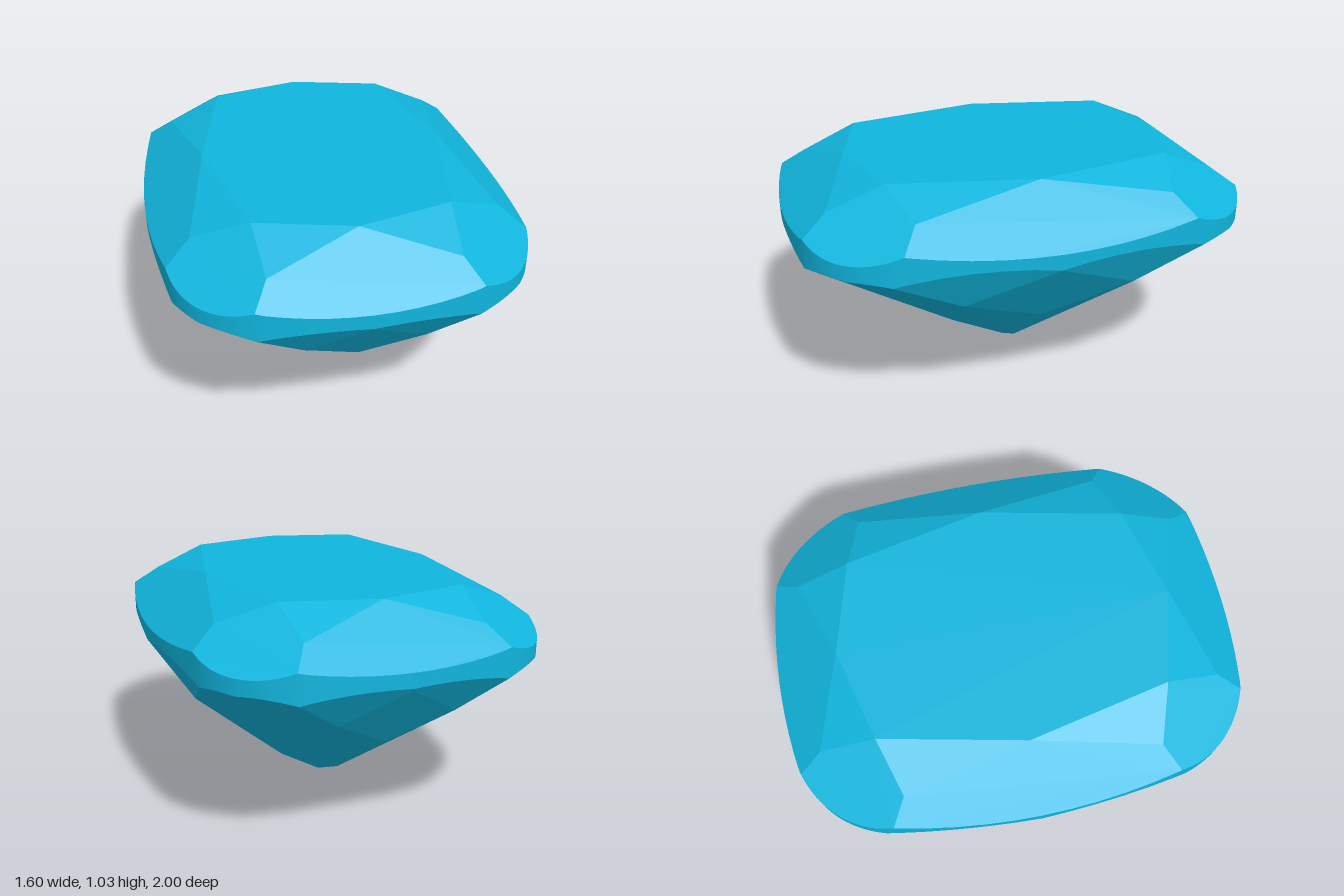
import * as THREE from 'three';
import { mergeVertices } from 'three/addons/utils/BufferGeometryUtils.js';

const P = (x, y, z) => new THREE.Vector3(x, y, z);
const CENTRE = P(0, 0.6, 0);

// Plane through three points, facing away from the stone's centre
function planeThrough(a, b, c) {
  const plane = new THREE.Plane().setFromCoplanarPoints(a, b, c);
  return plane.distanceToPoint(CENTRE) > 0 ? plane.negate() : plane;
}

// Repeat each facet in all four quadrants, dropping coincident ones
function mirrored(triples) {
  const planes = [];
  for (const t of triples) for (const sx of [1, -1]) for (const sz of [1, -1]) {
    const plane = planeThrough(...t.map(p => P(p.x * sx, p.y, p.z * sz)));
    if (!planes.some(q => q.normal.distanceTo(plane.normal) < 1e-5)) planes.push(plane);
  }
  return planes;
}

// Tangent planes of the cushion outline: two shallow side arcs joined by a round corner
function girdlePlanes(count = 160) {
  const R1 = 3.05, r = 0.43, a1 = Math.asin(0.63 / R1);
  const cx = 0.8 - R1 + (R1 - r) * Math.cos(a1), cz = (R1 - r) * Math.sin(a1);
  const bend = 2 * Math.atan((1 - r - cz) / cx);
  const R2 = cx / Math.sin(bend) + r, a2 = Math.PI / 2 - bend;
  const planes = [];
  for (let i = 0; i < count; i++) {
    const t = (i + 0.5) / count * Math.PI * 2;
    const c = Math.abs(Math.cos(t)), s = Math.abs(Math.sin(t)), a = Math.atan2(s, c);
    let reach = cx * c + cz * s + r;
    if (a < a1) reach = (0.8 - R1) * c + R1;
    else if (a > a2) reach = (1 - R2) * s + R2;
    planes.push(new THREE.Plane(P(Math.cos(t), 0, Math.sin(t)), -reach));
  }
  return planes;
}

// Cut a polygon down to the part behind a plane
function clip(poly, plane) {
  const out = [];
  poly.forEach((p, i) => {
    const q = poly[(i + 1) % poly.length];
    const dp = plane.distanceToPoint(p), dq = plane.distanceToPoint(q);
    if (dp <= 1e-7) out.push(p);
    if ((dp > 1e-7) !== (dq > 1e-7)) out.push(p.clone().lerp(q, dp / (dp - dq)));
  });
  return out;
}

// Facets lying on the given planes, trimmed by every other plane of the stone
function facetGeometry(planes, all) {
  const pos = [];
  for (const plane of planes) {
    const n = plane.normal;
    const u = (Math.abs(n.y) > 0.9 ? P(1, 0, 0) : P(0, 1, 0)).cross(n).normalize();
    const v = n.clone().cross(u);
    const mid = plane.projectPoint(CENTRE, P(0, 0, 0));
    let poly = [[-4, -4], [4, -4], [4, 4], [-4, 4]].map(([i, j]) =>
      mid.clone().addScaledVector(u, i).addScaledVector(v, j));
    for (const other of all) if (other !== plane && poly.length) poly = clip(poly, other);
    for (let i = 1; i < poly.length - 1; i++)
      for (const p of [poly[0], poly[i], poly[i + 1]]) pos.push(p.x, p.y, p.z);
  }
  const g = new THREE.BufferGeometry();
  g.setAttribute('position', new THREE.Float32BufferAttribute(pos, 3));
  return g;
}

export function createModel() {
  const flip = p => P(-p.x, p.y, p.z), flipZ = p => P(p.x, p.y, -p.z);

  // Crown corners: table edge (T) and kite shoulders (V)
  const T0 = P(0, 1.03, 0.715), T1 = P(0.53, 1.03, 0), T = P(0.4, 1.03, 0.61);
  const V1 = P(0.635, 0.948, 0.54), V2 = P(0.38, 0.93, 0.85);
  const table = [new THREE.Plane(P(0, 1, 0), -1.03)];
  const crown = mirrored([
    [T0, V2, flip(V2)], [T1, V1, flipZ(V1)], [T, V1, V2], // kites
    [T0, T, V2], [T1, T, V1],                             // stars
  ]);

  // Pavilion corners, from the culet up to the girdle, on the ends and the sides
  const O = P(0, 0, 0), G = P(0.64, 0.748, 0.821);
  const C = P(0, 0.118, 0.25), A = P(0, 0.445, 0.755), B = P(0.25, 0.59, 0.87);
  const C1 = P(0.19, 0.107, 0), A1 = P(0.56, 0.42, 0), B1 = P(0.68, 0.585, 0.365);
  const pavilion = mirrored([
    [O, C, C1],                                           // corner mains
    [C, B, G], [C1, B1, G],                               // beside the mains
    [A, B, C], [A1, B1, C1],                              // lower centre
    [A, B, flip(B)], [A1, B1, flipZ(B1)],                 // upper kites
    [P(0, 0.755, 1), B, P(0.395, 0.74, 0.966)],           // girdle facets
    [P(0.8, 0.75, 0), B1, P(0.735, 0.745, 0.63)],
  ]);

  const girdle = girdlePlanes();
  const all = [...table, ...crown, ...girdle, ...pavilion];
  const group = new THREE.Group();
  group.name = 'cushionCutGem';
  for (const [name, planes] of Object.entries({ table, crown, girdle, pavilion })) {
    let geometry = facetGeometry(planes, all);
    const smooth = name === 'girdle';
    if (smooth) geometry = mergeVertices(geometry, 1e-4);
    geometry.computeVertexNormals();
    const material = new THREE.MeshStandardMaterial({ color: 0x10b5dd, flatShading: !smooth });
    const mesh = new THREE.Mesh(geometry, material);
    mesh.name = name;
    group.add(mesh);
  }
  return group;
}
